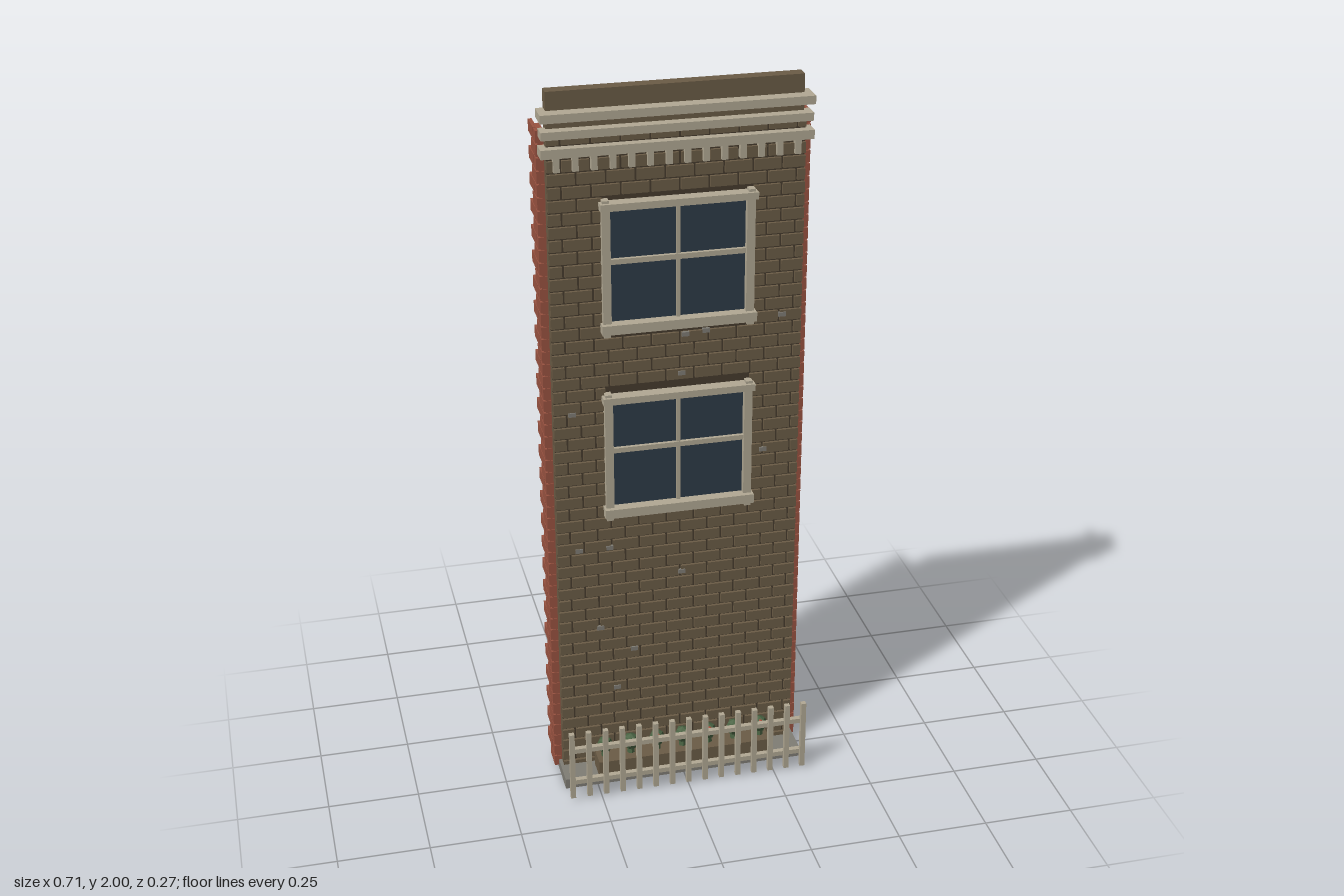
import * as THREE from 'three';
import { mergeGeometries } from 'three/addons/utils/BufferGeometryUtils.js';

const mat = (name, color) => {
  const m = new THREE.MeshStandardMaterial({ color });
  m.name = name;
  return m;
};

// Box given by its limits on each axis
const box = (x0, x1, y0, y1, z0, z1) =>
  new THREE.BoxGeometry(x1 - x0, y1 - y0, z1 - z0)
    .translate((x0 + x1) / 2, (y0 + y1) / 2, (z0 + z1) / 2);

export function createModel() {
  const model = new THREE.Group();
  model.name = 'houseFacade';

  const brown = mat('brownBrick', 0x6b5c46);
  const mortar = mat('darkMortar', 0x463c2e);
  const red = mat('redBrick', 0x9a5341);
  const trim = mat('paleTrim', 0xb2a994);
  const stone = mat('greyStone', 0x807d75);
  const glass = mat('blueGlass', 0x2d3b48);
  const black = mat('blackout', 0x1c1c1c);
  const green = mat('leafGreen', 0x4a6343);
  const bloom = mat('flowerRed', 0xa8503c);

  const add = (name, material, parts, parent = model) => {
    const mesh = new THREE.Mesh(mergeGeometries(parts), material);
    mesh.name = name;
    parent.add(mesh);
    return mesh;
  };

  const windows = [{ y0: 0.815, y1: 1.18 }, { y0: 1.35, y1: 1.715 }];

  // Wall, mortar face and parapet
  add('wall', brown, [box(-0.333, 0.333, 0.01, 1.9, -0.048, -0.015)]);
  add('mortarFace', mortar, [box(-0.332, 0.332, 0.02, 1.9, -0.015, -0.008)]);
  add('parapet', brown, [box(-0.33, 0.33, 1.9, 2, -0.05, -0.015)]);

  // Front bricks in running bond, cut around the windows
  const pitch = 0.035, length = 0.076, gap = 0.006;
  const bricks = [];
  for (let row = 0; row < 54; row++) {
    const y0 = 0.012 + row * pitch, y1 = y0 + pitch - gap;
    const opening = windows.some(w => y1 > w.y0 + 0.01 && y0 < w.y1 - 0.01);
    const spans = opening ? [[-0.333, -0.195], [0.195, 0.333]] : [[-0.333, 0.333]];
    const start = -0.333 - (row % 2) * length / 2;
    for (const [lo, hi] of spans) {
      for (let x = start; x < hi; x += length) {
        const a = Math.max(x, lo), b = Math.min(x + length - gap, hi);
        if (b - a > 0.008) bricks.push(box(a, b, y0, y1, -0.012, 0));
      }
    }
  }
  add('frontBricks', brown, bricks);

  // Small grey chips on the brickwork
  const chips = [
    [0.02, 1.33], [0.075, 1.335], [0.28, 1.36], [-0.285, 1.13], [0.01, 1.22], [0.235, 0.97],
    [-0.275, 0.72], [-0.19, 0.72], [0.01, 0.62], [-0.22, 0.47], [-0.125, 0.39], [-0.175, 0.27],
  ];
  add('brickChips', stone, chips.map(([x, y]) =>
    box(x - 0.01, x + 0.01, y - 0.006, y + 0.006, -0.005, 0.003)));

  // Toothed red brick returns on both sides
  for (const [name, s] of [['leftReturn', 1], ['rightReturn', -1]]) {
    const parts = [];
    const side = (x0, x1, y0, y1, z0, z1) =>
      parts.push(s > 0 ? box(x0, x1, y0, y1, z0, z1) : box(-x1, -x0, y0, y1, z0, z1));
    for (let row = 0; row < 54; row++) {
      const y0 = 0.012 + row * pitch, y1 = y0 + 0.031;
      if (row % 2) {
        side(0.334, 0.354, y0, y1, -0.058, -0.03);
        side(0.344, 0.354, y0, y1, -0.134, -0.062);
      } else {
        side(0.334, 0.354, y0, y1, -0.058, -0.03);
        side(0.344, 0.354, y0, y1, -0.093, -0.058);
      }
    }
    side(0.333, 0.348, 0.012, 1.9, -0.088, -0.032);
    add(name, red, parts);
  }

  // Cornice bands and dentils
  add('cornice', trim, [
    box(-0.35, 0.35, 1.93, 1.952, -0.045, 0.02),
    box(-0.348, 0.348, 1.885, 1.906, -0.03, 0.013),
    box(-0.35, 0.35, 1.838, 1.862, -0.03, 0.016),
  ]);
  const dentils = [];
  for (let i = 0; i < 14; i++) {
    const x = -0.31 + i * 0.62 / 13;
    dentils.push(box(x - 0.008, x + 0.008, 1.8, 1.838, -0.01, 0.011));
  }
  add('dentils', trim, dentils);

  // Sash windows with blackout boards behind
  windows.forEach(({ y0, y1 }, i) => {
    const g = new THREE.Group();
    g.name = i ? 'upperWindow' : 'lowerWindow';
    model.add(g);
    const mid = (y0 + y1) / 2 + 0.018;
    add('pane', glass, [box(-0.185, 0.185, y0 + 0.015, y1 - 0.015, -0.01, -0.002)], g);
    add('frame', trim, [
      box(-0.2, -0.178, y0 + 0.01, y1 - 0.005, -0.01, 0.015),
      box(0.178, 0.2, y0 + 0.01, y1 - 0.005, -0.01, 0.015),
      box(-0.205, 0.205, y0 + 0.008, y0 + 0.034, -0.01, 0.028),
      box(-0.205, 0.205, y1 - 0.022, y1 - 0.003, -0.01, 0.026),
    ], g);
    add('brackets', trim, [-0.19, 0.19].flatMap(x => [
      box(x - 0.009, x + 0.009, y0 - 0.003, y0 + 0.008, -0.005, 0.018),
      box(x - 0.009, x + 0.009, y1 - 0.003, y1 + 0.004, -0.005, 0.018),
    ]), g);
    add('glazingBars', trim, [
      box(-0.005, 0.005, y0 + 0.03, y1 - 0.02, -0.006, 0.006),
      box(-0.18, 0.18, mid - 0.007, mid + 0.007, -0.006, 0.008),
    ], g);
    add('blackoutBoard', black, [box(-0.19, 0.19, y0 + 0.005, y1 - 0.005, -0.06, -0.046)], g);
  });

  // Stone base and planter
  add('base', stone, [box(-0.342, 0.342, 0, 0.03, -0.04, 0.072)]);
  add('planter', brown, [box(-0.248, 0.248, 0.035, 0.085, 0.02, 0.09)]);

  // Clipped plants, every other one in flower
  const leaves = [], flowers = [];
  for (let i = 0; i < 7; i++) {
    const x = -0.225 + i * 0.075;
    leaves.push(new THREE.SphereGeometry(0.024, 6, 4).translate(x, 0.12, 0.055));
    leaves.push(new THREE.CylinderGeometry(0.008, 0.012, 0.03, 6).translate(x, 0.095, 0.055));
    if (i % 2 === 0) flowers.push(new THREE.SphereGeometry(0.011, 6, 4).translate(x, 0.129, 0.066));
  }
  green.flatShading = bloom.flatShading = true;
  add('plants', green, leaves);
  add('flowers', bloom, flowers);

  // Picket fence
  const pickets = [];
  for (let i = 0; i < 15; i++) {
    const x = -0.332 + i * 0.664 / 14;
    pickets.push(box(x - 0.007, x + 0.007, 0.01, 0.22, 0.121, 0.135));
  }
  add('fencePickets', trim, pickets);
  add('fenceRails', trim, [0.055, 0.158].map(y =>
    box(-0.332, 0.332, y - 0.007, y + 0.007, 0.11, 0.125)));

  return model;
}
